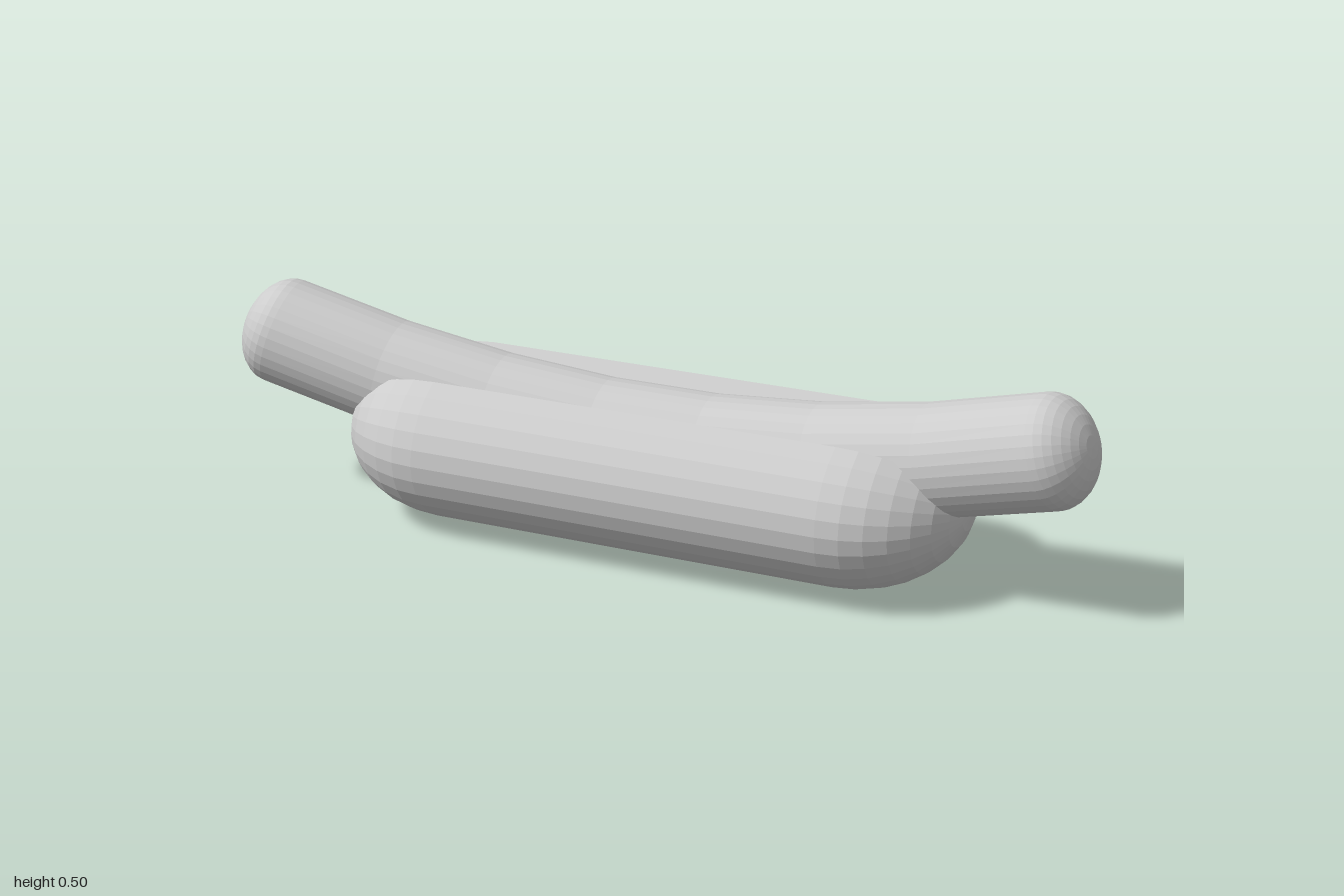
import * as THREE from 'three';

const SIDES = 32;
const CAP_STEPS = 8;

// Skins a list of equal-length closed rings, ordered along +x
function loft(name, rings) {
  const n = rings[0].length;
  const index = [];
  for (let i = 0; i < rings.length - 1; i++) {
    for (let j = 0; j < n; j++) {
      const a = i * n + j, b = i * n + (j + 1) % n;
      index.push(a, b, a + n, b, b + n, a + n);
    }
  }
  const geometry = new THREE.BufferGeometry().setFromPoints(rings.flat());
  geometry.setIndex(index);
  geometry.computeVertexNormals();
  const material = new THREE.MeshStandardMaterial({ color: 0xcccccc, flatShading: true });
  const mesh = new THREE.Mesh(geometry, material);
  mesh.name = name;
  return mesh;
}

// Stations [distance, scale] of a rounded end, from its rim to its tip
function capSteps() {
  return Array.from({ length: CAP_STEPS + 1 }, (_, i) => {
    const a = (i / CAP_STEPS) * Math.PI / 2;
    return [Math.sin(a), Math.max(Math.cos(a), 0)];
  });
}

// Bun: an oval capsule with a V-shaped slit along the top
function createBun() {
  const halfLength = 0.475, capLength = 0.26, width = 0.26, height = 0.193, centreY = 0.194;
  const section = [];
  for (let k = 3; k <= SIDES - 3; k++) {
    const a = (k / SIDES) * Math.PI * 2;
    section.push([Math.cos(a) * height, Math.sin(a) * width]);
  }
  section.push([0, 0]); // bottom of the slit
  const right = capSteps().map(([d, s]) => [halfLength + d * capLength, s]);
  const left = right.map(([x, s]) => [-x, s]).reverse();
  return loft('bun', [...left, ...right].map(([x, s]) =>
    section.map(([y, z]) => new THREE.Vector3(x, centreY + y * s, z * s))));
}

// Sausage: a round tube bending up and forward towards its rounded ends
function createSausage() {
  const end = 0.915, radius = 0.124, capLength = 0.09, rise = 0.15, forward = 0.064;
  const stations = [];
  for (let i = 0; i <= 7; i++) stations.push([-end + (i / 7) * 2 * end, 0, 1]);
  const cap = capSteps().slice(1);
  cap.forEach(([d, s]) => {
    stations.push([end, d * capLength, s]);
    stations.unshift([-end, -d * capLength, s]);
  });
  return loft('sausage', stations.map(([x, offset, s]) => {
    const u = x / end;
    const tangent = new THREE.Vector3(1, 2 * rise * u / end, 2 * forward * u / end).normalize();
    const side = tangent.clone().cross(new THREE.Vector3(0, 1, 0)).normalize();
    const up = side.clone().cross(tangent);
    const centre = new THREE.Vector3(x, 0.23 + rise * u * u, -0.02 + forward * u * u)
      .addScaledVector(tangent, offset);
    return Array.from({ length: SIDES }, (_, k) => {
      const a = (k / SIDES) * Math.PI * 2;
      return centre.clone()
        .addScaledVector(up, Math.cos(a) * radius * s)
        .addScaledVector(side, Math.sin(a) * radius * s);
    });
  }));
}

export function createModel() {
  const group = new THREE.Group();
  group.name = 'sausageInBun';
  group.add(createBun(), createSausage());
  return group;
}
